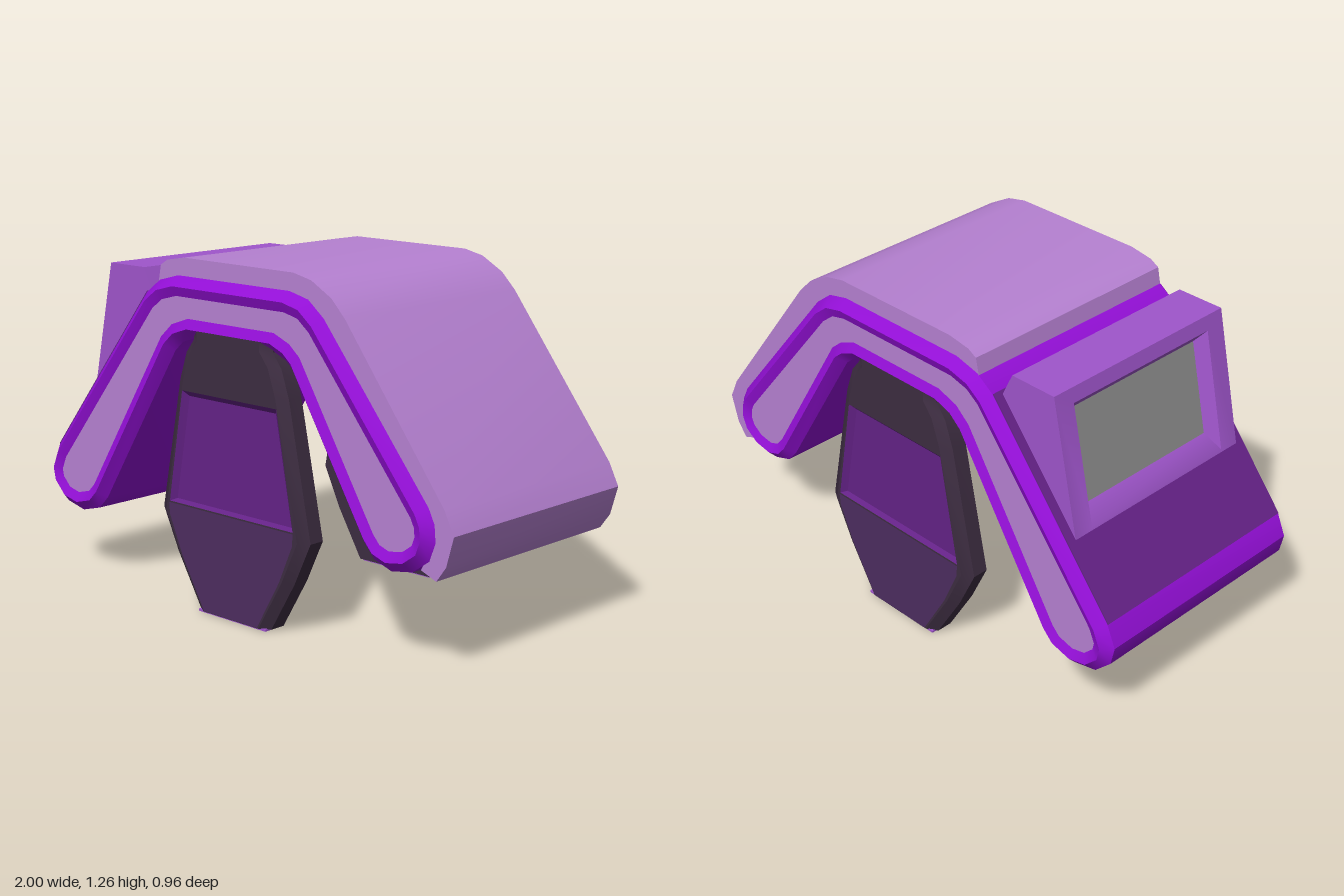
import * as THREE from 'three';
import { toCreasedNormals } from 'three/addons/utils/BufferGeometryUtils.js';

const mat = (name, color) => {
  const m = new THREE.MeshStandardMaterial({ color });
  m.name = name;
  return m;
};

const toShape = pts => new THREE.Shape(pts.map(p => new THREE.Vector2(p[0], p[1])));

// Skin between consecutive closed rings of [x, y, z] points
function loft(rings) {
  const pos = [], n = rings[0].length;
  for (let r = 0; r < rings.length - 1; r++) {
    for (let i = 0; i < n; i++) {
      const j = (i + 1) % n, a = rings[r], b = rings[r + 1];
      pos.push(...a[i], ...a[j], ...b[j], ...a[i], ...b[j], ...b[i]);
    }
  }
  const g = new THREE.BufferGeometry();
  g.setAttribute('position', new THREE.Float32BufferAttribute(pos, 3));
  return toCreasedNormals(g, 0.6);
}

// Flat polygon at depth z, looking towards +z or -z
function face(shape, z, dir = 1) {
  const g = new THREE.ShapeGeometry(shape);
  if (dir < 0) g.setIndex(Array.from(g.index.array).reverse());
  g.translate(0, 0, z);
  g.computeVertexNormals();
  return g;
}

function extrude(pts, halfZ) {
  const g = new THREE.ExtrudeGeometry(toShape(pts), { depth: halfZ * 2, bevelEnabled: false });
  g.translate(0, 0, -halfZ);
  return toCreasedNormals(g, 0.6);
}

// Move a counter-clockwise outline inwards by d
function inset(pts, d) {
  const n = pts.length;
  const normal = (a, b) => {
    const dx = b[0] - a[0], dy = b[1] - a[1], l = Math.hypot(dx, dy);
    return [-dy / l, dx / l];
  };
  return pts.map((p, i) => {
    const a = normal(pts[(i + n - 1) % n], p), b = normal(p, pts[(i + 1) % n]);
    const k = d / (1 + a[0] * b[0] + a[1] * b[1]);
    return [p[0] + (a[0] + b[0]) * k, p[1] + (a[1] + b[1]) * k];
  });
}

const atZ = (pts, z) => pts.map(p => [p[0], p[1], z]);
// Symmetric outline from [half width, y] rows listed bottom to top
const mirrored = rows => [...rows, ...rows.map(([w, y]) => [-w, y]).reverse()];

export function createModel() {
  const model = new THREE.Group();
  const violet = mat('vivid violet', 0x930fd6);
  const lilac = mat('pale lilac', 0xb681d2);
  const orchid = mat('orchid', 0x9f55cb);
  const plum = mat('deep plum', 0x642287);
  const dusk = mat('dusky purple', 0x4d2d60);
  const charcoal = mat('purple charcoal', 0x3d2d41);
  const grey = mat('screen grey', 0x8f8f8f);

  const add = (parent, name, geometry, material) => {
    const m = new THREE.Mesh(geometry, material);
    m.name = name;
    parent.add(m);
    return m;
  };

  // Arched body with chamfered rims and sunken end panels
  const outline = [
    [-1, 0.4], [-0.985, 0.33], [-0.92, 0.265], [-0.83, 0.245], [-0.735, 0.27], [-0.685, 0.32],
    [-0.29, 0.93], [-0.25, 0.965], [-0.19, 0.985], [0.21, 0.985], [0.26, 0.965], [0.29, 0.94],
    [0.62, 0.405], [0.665, 0.355], [0.74, 0.33], [0.83, 0.345], [0.9, 0.395], [0.925, 0.46],
    [0.92, 0.52], [0.895, 0.57], [0.436, 1.125], [0.366, 1.18], [0.28, 1.2], [-0.27, 1.2],
    [-0.366, 1.175], [-0.436, 1.125], [-0.965, 0.48],
  ];
  const rim = inset(outline, 0.035), panel = inset(outline, 0.07);
  add(model, 'body', loft([
    atZ(panel, -0.465), atZ(rim, -0.48), atZ(outline, -0.445),
    atZ(outline, 0.445), atZ(rim, 0.48), atZ(panel, 0.465),
  ]), violet);
  add(model, 'frontEndPanel', face(toShape(panel), 0.465, 1), lilac);
  add(model, 'backEndPanel', face(toShape(panel), -0.465, -1), lilac);

  // Padded cover over the top and left slope
  add(model, 'cover', extrude([
    [0.865, 0.36], [0.93, 0.335], [0.97, 0.39], [1, 0.495], [0.96, 0.575], [0.53, 1.135],
    [0.47, 1.195], [0.38, 1.245], [0.297, 1.263], [-0.235, 1.265], [-0.325, 1.25],
    [-0.36, 1.23], [-0.375, 1.16], [-0.27, 1.18], [0.28, 1.18], [0.42, 1.11],
    [0.88, 0.55], [0.9, 0.42],
  ], 0.445), lilac);

  // Dark plate on the right slope
  add(model, 'slopePlate', extrude([
    [-0.965, 0.48], [-0.436, 1.125], [-0.439, 1.128], [-0.968, 0.483],
  ], 0.444), plum);

  // Display housing with a tapering recess
  const f0 = [-0.79, 0.68], f1 = [-0.675, 1.205];
  const onFace = (t, depth) => [
    f0[0] + (f1[0] - f0[0]) * t + 0.977 * depth,
    f0[1] + (f1[1] - f0[1]) * t - 0.214 * depth,
  ];
  const ring = (lo, hi, z) => [[...lo, -z], [...lo, z], [...hi, z], [...hi, -z]];
  const floor = ring(onFace(0.2, 0.04), onFace(0.84, 0.04), 0.295);
  const centre = [-0.455, 1.1325, 0];
  const housing = new THREE.Group();
  housing.name = 'display';
  model.add(housing);
  add(housing, 'displayHousing', loft([
    [centre, centre, centre, centre],
    ring([-0.42, 1.06], [-0.49, 1.205], 0.41),
    ring(f0, f1, 0.41),
    ring(onFace(0.07, 0), onFace(0.9, 0), 0.33),
    floor,
  ]), orchid);
  const mid = [0, 1, 2].map(k => floor.reduce((s, p) => s + p[k] / 4, 0));
  add(housing, 'displayScreen', loft([floor, [mid, mid, mid, mid]]), grey);

  // Legs: chamfered slab, sunken upper panel, lower plate and sole
  const rows = [[0.18, 0.005], [0.295, 0.195], [0.37, 0.35], [0.27, 0.835], [0.235, 0.935], [0.195, 0.985], [0.195, 1.02]];
  const slab = mirrored(rows);
  const front = mirrored(rows.map(([w, y]) => [w - 0.04, y]));
  const opening = mirrored([[0.31, 0.385], [0.235, 0.8]]);
  const screen = mirrored([[0.288, 0.395], [0.215, 0.78]]);
  const lower = mirrored([[0.135, 0.008], [0.245, 0.195], [0.308, 0.335]]);
  const ledge = mirrored([[0.308, 0.335], [0.312, 0.38]]);

  function makeLeg(name) {
    const leg = new THREE.Group();
    leg.name = name;
    add(leg, 'legSlab', loft([atZ(slab, 0.395), atZ(slab, 0.455), atZ(front, 0.48)]), charcoal);
    add(leg, 'legInnerFace', face(toShape(slab), 0.395, -1), charcoal);
    const frame = toShape(front);
    frame.holes.push(new THREE.Path(opening.map(p => new THREE.Vector2(p[0], p[1]))));
    add(leg, 'legFrame', face(frame, 0.48), charcoal);
    add(leg, 'legRecess', loft([atZ(opening, 0.48), atZ(screen, 0.462)]), plum);
    add(leg, 'legUpperPanel', face(toShape(screen), 0.462), plum);
    add(leg, 'legLowerPanel', face(toShape(lower), 0.482), dusk);
    add(leg, 'legLedge', face(toShape(ledge), 0.482), dusk);
    const sole = add(leg, 'sole', new THREE.BoxGeometry(0.34, 0.008, 0.075), orchid);
    sole.position.set(0, 0.004, 0.4375);
    leg.position.x = 0.015;
    model.add(leg);
    return leg;
  }
  makeLeg('frontLeg');
  makeLeg('backLeg').rotation.y = Math.PI;

  return model;
}
